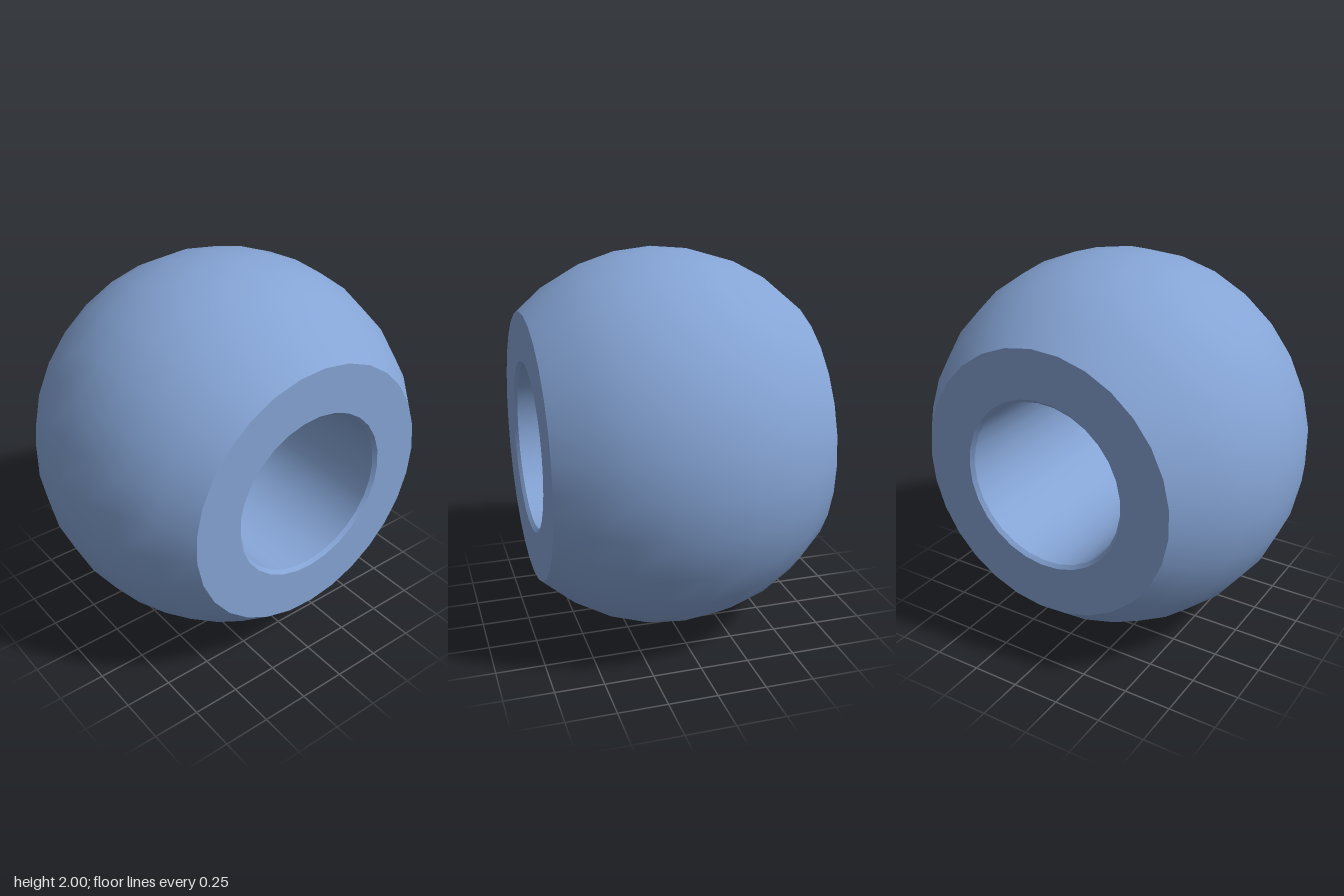
import * as THREE from 'three';

const SIDES = 29;
const RADIUS = 1.0015;
const HALF = 0.713; // half the length along the bore
const FACE_R = Math.sqrt(RADIUS ** 2 - HALF ** 2);
const MOUTH_R = 0.45;
const BORE_R = 0.432;
const BORE_HALF = HALF - 0.018;

export function createModel() {
  const model = new THREE.Group();
  model.name = 'boredBall';
  const blue = new THREE.MeshStandardMaterial({ color: 0x85a4d5 });
  blue.name = 'soft blue';

  // Turn an [radius, z] profile around the z axis
  const turn = (name, profile) => {
    const points = profile.map(([r, z]) => new THREE.Vector2(r, z));
    const geometry = new THREE.LatheGeometry(points, SIDES, Math.PI / 2);
    geometry.rotateX(Math.PI / 2);
    const mesh = new THREE.Mesh(geometry, blue);
    mesh.name = name;
    model.add(mesh);
  };

  // Spherical outer surface, cut flat at both ends
  const limit = Math.asin(HALF / RADIUS);
  const arc = [];
  for (let i = -4; i <= 4; i++) {
    const a = (limit * i) / 4;
    arc.push([RADIUS * Math.cos(a), RADIUS * Math.sin(a)]);
  }
  turn('ballSurface', arc);

  // Flat end rings and the small chamfers at the bore mouths
  turn('frontFace', [[FACE_R, HALF], [MOUTH_R, HALF]]);
  turn('frontChamfer', [[MOUTH_R, HALF], [BORE_R, BORE_HALF]]);
  turn('bore', [[BORE_R, BORE_HALF], [BORE_R, -BORE_HALF]]);
  turn('backChamfer', [[BORE_R, -BORE_HALF], [MOUTH_R, -HALF]]);
  turn('backFace', [[MOUTH_R, -HALF], [FACE_R, -HALF]]);

  model.position.set(-0.003, 1, 0);
  return model;
}
